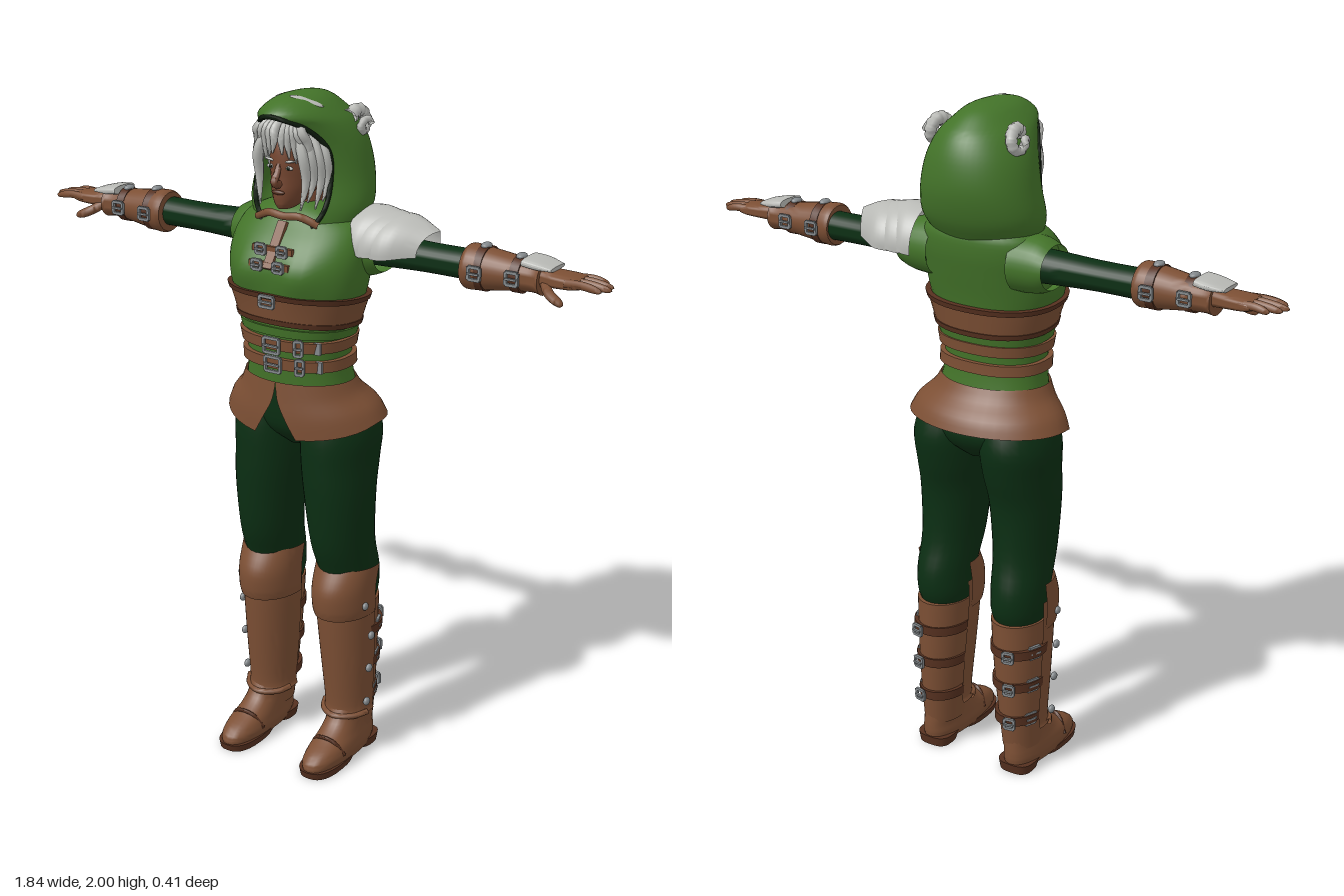
import * as THREE from 'three';
import { toCreasedNormals, mergeGeometries } from 'three/addons/utils/BufferGeometryUtils.js';

const mat = (name, color) => Object.assign(new THREE.MeshStandardMaterial({ color, side: THREE.DoubleSide }), { name });
const V = (a) => new THREE.Vector3(...a);

// Catmull-Rom refinement of a list of cross-sections [y, rx, zFront, zBack, cx, openAngle]
function refine(rings, steps) {
  const full = rings.map((r) => [0, 1, 2, 3, 4, 5].map((k) => r[k] ?? 0));
  const out = [];
  for (let i = 0; i < full.length - 1; i++) {
    const [a, b, c, d] = [full[Math.max(i - 1, 0)], full[i], full[i + 1], full[Math.min(i + 2, full.length - 1)]];
    for (let s = 0; s < steps; s++) {
      const t = s / steps;
      out.push(b.map((_, k) => 0.5 * (2 * b[k] + (c[k] - a[k]) * t + (2 * a[k] - 5 * b[k] + 4 * c[k] - d[k]) * t * t
        + (3 * b[k] - a[k] - 3 * c[k] + d[k]) * t * t * t)));
    }
  }
  out.push(full[full.length - 1]);
  return out;
}

// Skin over horizontal superellipse sections, listed bottom to top
function loft(rings, { seg = 28, steps = 4, p = 2, rot = 0, cap = true, tweak } = {}) {
  const list = steps > 1 ? refine(rings, steps) : refine(rings, 1);
  if (cap) {
    const tip = (r) => [r[0], 0, (r[2] + r[3]) / 2, (r[2] + r[3]) / 2, r[4], 0];
    list.unshift(tip(list[0]));
    list.push(tip(list[list.length - 1]));
  }
  const pow = (v) => Math.sign(v) * Math.abs(v) ** (2 / p);
  const pos = [], idx = [];
  list.forEach(([y, rx, zf, zb, cx, open], j) => {
    const g = Math.max(0, open);
    for (let i = 0; i <= seg; i++) {
      const a = rot + g + (2 * Math.PI - 2 * g) * (i / seg);
      const q = new THREE.Vector3(cx + Math.max(0, rx) * pow(Math.sin(a)), y, (zf + zb) / 2 + ((zf - zb) / 2) * pow(Math.cos(a)));
      if (tweak) tweak(q);
      pos.push(q.x, q.y, q.z);
      if (i < seg && j < list.length - 1) {
        const k = j * (seg + 1) + i, n = k + seg + 1;
        idx.push(k, k + 1, n + 1, k, n + 1, n);
      }
    }
  });
  const geo = new THREE.BufferGeometry();
  geo.setAttribute('position', new THREE.Float32BufferAttribute(pos, 3));
  geo.setIndex(idx);
  return toCreasedNormals(geo, 0.8);
}

// Loft along the arm: rings are [x, halfHeight, zFront, zBack]
const armLoft = (rings, o) => loft(rings, o).rotateZ(-Math.PI / 2).translate(0, 1.58, 0);

// Tube whose thickness follows a profile
function taper(pts, r, prof, seg = 18, rad = 7) {
  const curve = new THREE.CatmullRomCurve3(pts.map(V));
  const geo = new THREE.TubeGeometry(curve, seg, r, rad), P = geo.attributes.position, v = new THREE.Vector3();
  for (let i = 0; i < P.count; i++) {
    const t = Math.floor(i / (rad + 1)) / seg, c = curve.getPointAt(t);
    v.fromBufferAttribute(P, i).sub(c).multiplyScalar(prof(t)).add(c);
    P.setXYZ(i, v.x, v.y, v.z);
  }
  return toCreasedNormals(geo, 1.2);
}
const blunt = (t) => Math.sqrt(Math.max(0, 1 - t ** 6));
const pointed = (t) => 0.15 + 0.85 * Math.sin(Math.PI * Math.min(1, 0.25 + t * 0.75));

function mirrored(geo) {
  const g = geo.index ? geo.toNonIndexed() : geo.clone();
  g.scale(-1, 1, 1);
  for (const A of Object.values(g.attributes)) {
    const n = A.itemSize;
    for (let i = 0; i < A.count; i += 3) for (let k = 0; k < n; k++) {
      const a = i * n + k, b = (i + 2) * n + k;
      [A.array[a], A.array[b]] = [A.array[b], A.array[a]];
    }
  }
  return g;
}

const box = (w, h, d, x, y, z) => new THREE.BoxGeometry(w, h, d).translate(x, y, z);
const blob = (sx, sy, sz, x, y, z, rz = 0) => new THREE.SphereGeometry(1, 14, 10).scale(sx, sy, sz).rotateZ(rz).translate(x, y, z);

// Square buckle with a prong, facing +z before turning
function buckle(w, h, x, y, z, ry = 0, rx = 0) {
  const t = 0.008;
  return mergeGeometries([box(w, t, t, 0, h / 2, 0), box(w, t, t, 0, -h / 2, 0), box(t, h, t, w / 2, 0, 0),
    box(t, h, t, -w / 2, 0, 0), box(w, t * 0.7, t, 0, 0, 0.005)]).rotateX(rx).rotateY(ry).translate(x, y, z);
}

export function createModel() {
  const model = new THREE.Group();
  model.name = 'hoodedRanger';
  const green = mat('clothGreen', 0x437329), dark = mat('darkGreen', 0x0b2e13), leather = mat('leather', 0x7c4f34);
  const strapM = mat('darkLeather', 0x55301f), skin = mat('skin', 0x74452f), silver = mat('paleSilver', 0xb9bab6);
  const metal = mat('metal', 0x84898c), black = mat('trim', 0x0d1a0c);
  const add = (name, geo, m) => {
    const mesh = new THREE.Mesh(geo, m);
    mesh.name = name;
    model.add(mesh);
  };
  const both = (name, geo, m) => { add(name + 'Left', geo, m); add(name + 'Right', mirrored(geo), m); };

  // Vest
  const torso = [[1.18, 0.163, 0.13, -0.105], [1.25, 0.152, 0.135, -0.095], [1.32, 0.156, 0.143, -0.098], [1.4, 0.178, 0.155, -0.11],
    [1.47, 0.2, 0.168, -0.122], [1.54, 0.207, 0.17, -0.138], [1.6, 0.205, 0.142, -0.15], [1.65, 0.185, 0.098, -0.15],
    [1.68, 0.13, 0.07, -0.13], [1.7, 0.07, 0.04, -0.1]];
  const bust = (q) => {
    if (q.z > 0) q.z += 0.018 * Math.exp(-(((Math.abs(q.x) - 0.09) / 0.05) ** 2) - ((q.y - 1.52) / 0.06) ** 2);
  };
  add('vest', loft(torso, { p: 2.3, seg: 40, tweak: bust }), green);
  both('armhole', armLoft([[0.13, 0.085, 0.05, -0.14], [0.2, 0.078, 0.03, -0.135], [0.238, 0.062, 0.02, -0.13]], { cap: false }), green);
  const fine = refine(torso, 6);
  const section = (y, g = 0) => {
    const i = Math.max(1, fine.findIndex((r) => r[0] >= y)), a = fine[i - 1], b = fine[i], t = (y - a[0]) / (b[0] - a[0]);
    const [, rx, zf, zb] = a.map((v, k) => v + (b[k] - v) * t);
    return [y, rx + g, zf + g, zb - g];
  };
  const frontZ = (x, y) => {
    const [, rx, zf, zb] = section(y);
    return (zf + zb) / 2 + ((zf - zb) / 2) * (1 - Math.abs(x / rx) ** 2.3) ** (1 / 2.3);
  };

  // Corset and belts
  const band = (name, y0, y1, g, tilt, m) => add(name, loft([section(y0), section(y0, g), section((y0 + y1) / 2, g), section(y1, g), section(y1)],
    { p: 2.3, seg: 40, steps: 1, cap: false, tweak: (q) => { bust(q); q.y += tilt * q.z; } }), m);
  band('corset', 1.375, 1.445, 0.011, 0.08, leather);
  band('corsetTopEdge', 1.44, 1.455, 0.015, 0.08, strapM);
  band('corsetLowerEdge', 1.365, 1.38, 0.014, 0.08, strapM);
  band('vestHem', 1.335, 1.36, 0.008, 0.05, green);
  band('upperBelt', 1.302, 1.334, 0.014, 0, leather);
  band('lowerBelt', 1.245, 1.277, 0.014, 0, leather);
  for (const y of [1.318, 1.261]) {
    add('beltBuckle', buckle(0.05, 0.042, 0, y, frontZ(0, y) + 0.022), metal);
    add('beltKeeper', buckle(0.022, 0.042, 0.08, y, frontZ(0.08, y) + 0.02, 0.3), metal);
    add('beltTip', box(0.02, 0.034, 0.008, 0.125, y, frontZ(0.125, y) + 0.014).translate(0, 0, 0.004), metal);
  }
  add('corsetBuckle', buckle(0.045, 0.03, 0, 1.45, frontZ(0, 1.45) + 0.022), metal);

  // Chest fastening and collar strap
  add('chestPlacket', box(0.028, 0.14, 0.012, 0, 1.6, 0).rotateX(0).applyMatrix4(
    new THREE.Matrix4().makeTranslation(0, 1.6, 0.142).multiply(new THREE.Matrix4().makeRotationX(-0.6)).multiply(new THREE.Matrix4().makeTranslation(0, -1.6, 0))), leather);
  for (const y of [1.59, 1.55]) {
    add('chestStrap', box(0.13, 0.018, 0.012, 0, y, frontZ(0.04, y) + 0.006), leather);
    both('chestClasp', buckle(0.028, 0.026, 0.035, y, frontZ(0.03, y) + 0.016), metal);
  }
  add('collarStrap', taper([[-0.1, 1.655, 0.08], [-0.05, 1.675, 0.095], [0, 1.672, 0.1], [0.05, 1.675, 0.095], [0.1, 1.655, 0.08]], 0.011, () => 1), leather);

  // Split skirt, hips and trousers
  add('skirt', loft([[1.09, 0.25, 0.155, -0.19, 0, 0.28], [1.13, 0.228, 0.155, -0.172, 0, 0.16], [1.17, 0.188, 0.15, -0.132, 0, 0.04], [1.205, 0.168, 0.145, -0.11]],
    { cap: false, seg: 36, tweak: (q) => { q.y -= 2.7 * Math.max(0, q.z) * (1.205 - q.y); } }), leather);
  add('hips', loft([[0.99, 0.04, 0.05, -0.1], [1.04, 0.17, 0.1, -0.15], [1.1, 0.2, 0.115, -0.155], [1.2, 0.155, 0.12, -0.095]]), dark);
  both('trouserLeg', loft([[0.48, 0.068, 0.03, -0.13, 0.13], [0.53, 0.079, 0.045, -0.15, 0.13], [0.6, 0.082, 0.06, -0.15, 0.13],
    [0.7, 0.087, 0.095, -0.128, 0.125], [0.85, 0.099, 0.112, -0.128, 0.12], [0.95, 0.106, 0.116, -0.152, 0.114],
    [1.04, 0.11, 0.115, -0.165, 0.112], [1.13, 0.095, 0.1, -0.14, 0.1]]), dark);

  // Boots with shin guards, knee flaps and straps
  both('bootShaft', loft([[0.08, 0.055, 0.03, -0.125, 0.143], [0.2, 0.062, 0.025, -0.138, 0.14], [0.35, 0.072, 0.04, -0.148, 0.135], [0.5, 0.079, 0.05, -0.152, 0.131]]), leather);
  both('bootFoot', loft([[0.015, 0.055, 0.2, -0.125, 0.147], [0.04, 0.061, 0.2, -0.13, 0.147], [0.065, 0.058, 0.17, -0.13, 0.147],
    [0.09, 0.054, 0.11, -0.128, 0.145], [0.12, 0.052, 0.065, -0.126, 0.144], [0.16, 0.054, 0.04, -0.128, 0.142]], { p: 2.3 }), leather);
  both('sole', loft([[0, 0.055, 0.2, 0.0, 0.147], [0.022, 0.059, 0.206, -0.03, 0.147]], { steps: 1, p: 2.6 }), strapM);
  both('heel', loft([[0, 0.05, -0.035, -0.127, 0.147], [0.03, 0.056, -0.02, -0.132, 0.147]], { steps: 1, p: 3 }), strapM);
  both('toeSeam', taper([[0.09, 0.045, 0.09], [0.115, 0.085, 0.105], [0.147, 0.096, 0.112], [0.178, 0.085, 0.105], [0.205, 0.045, 0.09]], 0.006, () => 1), strapM);
  const back = { rot: Math.PI, cap: false };
  both('shinGuard', loft([[0.14, 0.075, 0.046, -0.13, 0.138, 1.35], [0.17, 0.07, 0.042, -0.13, 0.138, 1.35], [0.32, 0.079, 0.058, -0.14, 0.135, 1.35],
    [0.48, 0.086, 0.072, -0.14, 0.131, 1.35], [0.56, 0.086, 0.07, -0.14, 0.131, 1.35]], back), leather);
  both('kneeFlap', loft([[0.47, 0.088, 0.086, -0.15, 0.131, 1.4], [0.5, 0.091, 0.094, -0.15, 0.131, 1.4], [0.56, 0.092, 0.093, -0.15, 0.131, 1.4],
    [0.625, 0.094, 0.06, -0.15, 0.132, 1.4]], back), leather);
  both('kneeStud', blob(0.008, 0.012, 0.012, 0.222, 0.51, 0.01), metal);
  both('shinSeam', taper([[0.215, 0.145, -0.02], [0.19, 0.14, 0.02], [0.138, 0.14, 0.05], [0.085, 0.14, 0.02], [0.065, 0.145, -0.02]], 0.009, () => 1), leather);
  for (const y of [0.41, 0.3, 0.185]) {
    const r = 0.062 + (y - 0.185) * 0.06, zb = -0.147 - (y - 0.185) * 0.04;
    both('bootStrap', loft([[y - 0.014, r + 0.007, 0.03, zb, 0.137], [y + 0.014, r + 0.008, 0.032, zb, 0.137]], { steps: 1 }), strapM);
    both('bootBuckle', buckle(0.036, 0.034, 0.137 + r * 0.92, y, -0.09, Math.PI / 2 + 0.35), metal);
    both('bootBackBuckle', buckle(0.03, 0.03, 0.16, y, zb - 0.008, Math.PI - 0.2), metal);
    both('bootStud', blob(0.009, 0.013, 0.013, 0.144 + r + 0.012, y, -0.01), metal);
  }

  // Sleeves, bracers and gloves
  both('sleeve', armLoft([[0.16, 0.05, 0.0, -0.11], [0.25, 0.046, 0.0, -0.105], [0.38, 0.041, -0.003, -0.1], [0.53, 0.042, -0.005, -0.1]]), dark);
  both('bracer', armLoft([[0.5, 0.058, 0.016, -0.106], [0.515, 0.063, 0.02, -0.108], [0.57, 0.057, 0.012, -0.103], [0.65, 0.046, 0.002, -0.1], [0.7, 0.042, -0.002, -0.097], [0.725, 0.046, 0.004, -0.1]]), leather);
  for (const [x, r] of [[0.55, 0.062], [0.655, 0.05]]) {
    both('bracerStrap', armLoft([[x - 0.013, r, r - 0.046, -0.046 - r], [x + 0.013, r, r - 0.046, -0.046 - r]], { steps: 1 }), strapM);
    both('bracerBuckle', buckle(0.034, 0.034, x, 1.58, r - 0.04), metal);
    both('bracerBackBuckle', buckle(0.034, 0.034, x, 1.58, -0.054 - r, Math.PI), metal);
    both('bracerTopStud', blob(0.014, 0.009, 0.02, x, 1.58 + r, -0.046), metal);
  }
  both('handPlate', loft([[0.68, 0.012, -0.0, -0.096], [0.72, 0.012, 0.0, -0.1], [0.765, 0.006, -0.008, -0.088]], { p: 3 }).rotateZ(-Math.PI / 2 - 0.12).translate(-0.0, 1.705, 0), silver);
  both('palm', armLoft([[0.71, 0.026, -0.015, -0.083], [0.76, 0.022, -0.005, -0.092], [0.81, 0.019, -0.002, -0.096], [0.835, 0.014, -0.004, -0.094]], { p: 2.6 }).translate(0, 0.005, 0), leather);
  [[-0.011, 0.905], [-0.036, 0.922], [-0.061, 0.915], [-0.085, 0.89]].forEach(([z, x]) =>
    both('finger', taper([[0.8, 1.588, z * 0.95], [0.85, 1.589, z], [x, 1.581, z * 1.08 + 0.003]], 0.0115, blunt), leather));
  both('thumb', taper([[0.735, 1.575, -0.025], [0.765, 1.555, 0.005], [0.81, 1.535, 0.018]], 0.014, blunt), leather);

  // Layered pauldron on the left shoulder
  [[0.165, 0.29, 0.112, 0.1], [0.2, 0.345, 0.104, 0.086], [0.24, 0.4, 0.098, 0.066]].forEach(([x0, x1, r0, r1]) => {
    const shell = loft([[x0, r0 - 0.004, 0.108, -0.108, 0, 1.45], [(x0 + x1) / 2, r0, 0.112, -0.112, 0, 1.5], [x1, r1, r1, -r1, 0, 1.6]],
      { rot: Math.PI / 2, cap: false, tweak: (q) => { q.y -= 0.55 * Math.abs(q.z) * (q.y - x0) / (x1 - x0); } });
    add('pauldronPlate', shell.rotateZ(-Math.PI / 2).translate(0, 1.587, -0.06), silver);
  });

  // Head and face
  add('neck', new THREE.CylinderGeometry(0.045, 0.055, 0.14, 18).translate(0, 1.69, -0.02), skin);
  const face = [[1.696, 0.02, 0.118, 0.05], [1.712, 0.037, 0.126, -0.0], [1.745, 0.055, 0.128, -0.05], [1.78, 0.064, 0.126, -0.08],
    [1.83, 0.069, 0.126, -0.1], [1.88, 0.068, 0.115, -0.1], [1.93, 0.045, 0.07, -0.06]];
  add('head', loft(face), skin);
  add('nose', taper([[0, 1.825, 0.118], [0, 1.795, 0.133], [0, 1.776, 0.145], [0, 1.766, 0.126]], 0.012, (t) => 0.6 + 0.5 * t), skin);
  add('lips', blob(0.021, 0.0065, 0.007, 0, 1.744, 0.127), strapM);
  both('eye', blob(0.014, 0.006, 0.004, 0.029, 1.812, 0.117), silver);
  both('iris', blob(0.005, 0.005, 0.003, 0.029, 1.812, 0.12), black);
  both('brow', blob(0.02, 0.0035, 0.005, 0.031, 1.83, 0.117, 0.15), silver);

  // Hair: cap, fringe and side locks
  add('hairCap', loft([[1.72, 0.085, 0.1, -0.11, 0, 1.3], [1.82, 0.09, 0.125, -0.12, 0, 1.0], [1.89, 0.085, 0.13, -0.115, 0, 0.6], [1.93, 0.06, 0.105, -0.08, 0, 0.1], [1.95, 0.01, 0.02, 0]], { cap: false }), silver);
  for (let i = 0; i < 5; i++) {
    const x = 0.012 + i * 0.017;
    both('fringeLock', taper([[x * 0.5, 1.94, 0.08], [x * 0.8 + 0.006, 1.915, 0.118], [x, 1.885, 0.128 - i * 0.006], [x + 0.004, 1.85 - i * 0.012, 0.13 - i * 0.009]], 0.014, pointed), silver);
  }
  for (let i = 0; i < 4; i++) {
    const x = 0.068 + i * 0.012, z = 0.105 - i * 0.018;
    both('sideLock', taper([[x * 0.7, 1.91, z], [x + 0.004, 1.85, z + 0.01], [x + 0.008, 1.78, z], [x - 0.002, 1.7 + (i % 2) * 0.02, z + 0.012]], 0.015, pointed), silver);
  }

  // Hood, rim, curled horns and feather
  add('hood', loft([[1.645, 0.165, 0.1, -0.15, 0, 0.52], [1.7, 0.183, 0.098, -0.185, 0, 0.66], [1.78, 0.172, 0.09, -0.206, 0, 0.77], [1.86, 0.154, 0.1, -0.2, 0, 0.83],
    [1.92, 0.128, 0.132, -0.178, 0, 0.65], [1.955, 0.1, 0.162, -0.145, 0, 0.02], [1.985, 0.065, 0.125, -0.1], [1.998, 0.03, 0.075, -0.05], [2, 0, 0.01, 0.01]],
    { cap: false, seg: 40 }), green);
  const rim = [[0.082, 1.645, 0.085], [0.113, 1.7, 0.07], [0.12, 1.78, 0.05], [0.114, 1.86, 0.053], [0.078, 1.92, 0.102], [0.03, 1.95, 0.152]];
  add('hoodRim', taper([...rim, [0, 1.956, 0.162], ...rim.map(([x, y, z]) => [-x, y, z]).reverse()], 0.007, () => 1, 60), black);
  const spiral = Array.from({ length: 14 }, (_, i) => {
    const t = i / 13, a = 0.6 + t * 9, r = 0.036 * (1 - t * 0.85);
    return [0.118 + t * 0.045, 1.915 + r * Math.sin(a), -0.08 + r * Math.cos(a)];
  });
  both('curledHorn', taper(spiral, 0.021, (t) => (1 - 0.55 * t) * (1 + 0.08 * Math.sin(t * 70)), 60, 8), silver);
  add('hoodFeather', blob(0.048, 0.007, 0.016, 0, 0, 0).rotateY(0.5).rotateZ(-0.35).translate(0.045, 1.985, 0.055), silver);
  return model;
}
